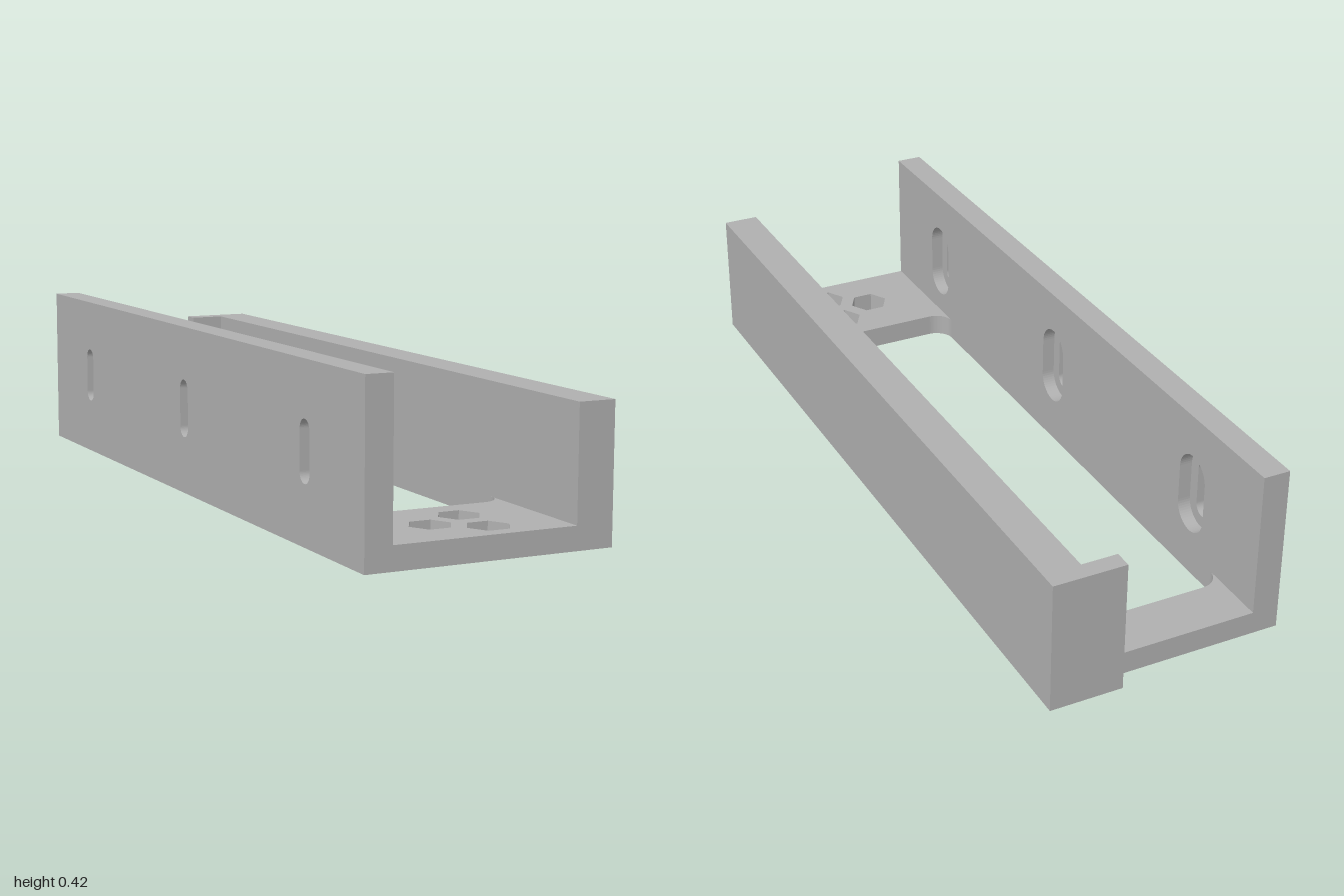
import * as THREE from 'three';

const grey = new THREE.MeshStandardMaterial({ color: 0xb0b0b0 });
grey.name = 'grey';

// Closed outline from [a, z] pairs; z is stored negated so extrusions rotate into place
const outline = (Type, pts) => new Type(pts.map(([a, b]) => new THREE.Vector2(a, b)));

function mesh(name, geometry) {
  const m = new THREE.Mesh(geometry, grey);
  m.name = name;
  return m;
}

// Plan shape (x, -z) raised from y0 to y1
function raise(name, shape, y0, y1) {
  const g = new THREE.ExtrudeGeometry(shape, { depth: y1 - y0, bevelEnabled: false, curveSegments: 10 });
  return mesh(name, g.rotateX(-Math.PI / 2).translate(0, y0, 0));
}

// Side shape (-z, y) thickened from x0 to x1
function thicken(name, shape, x0, x1) {
  const g = new THREE.ExtrudeGeometry(shape, { depth: x1 - x0, bevelEnabled: false, curveSegments: 14 });
  return mesh(name, g.rotateY(Math.PI / 2).translate(x0, 0, 0));
}

// Upright slot with round ends
function slot(z, y, width, height) {
  const r = width / 2, h = height / 2 - r;
  const p = new THREE.Path();
  p.moveTo(-z + r, y - h);
  p.lineTo(-z + r, y + h);
  p.absarc(-z, y + h, r, 0, Math.PI, false);
  p.lineTo(-z - r, y - h);
  p.absarc(-z, y - h, r, Math.PI, Math.PI * 2, false);
  return p;
}

function hexagon(x, z, r) {
  const pts = [];
  for (let i = 0; i < 6; i++) {
    const a = (i * Math.PI) / 3;
    pts.push([x + r * Math.cos(a), -z + r * Math.sin(a)]);
  }
  return outline(THREE.Path, pts);
}

const W = 0.307, BACK = -0.955, FLOOR = 0.057;
const IN_L = -0.24, IN_R = 0.215, POCKET_X = 0.275;
const POCKET_Z = [-0.743, -0.228], POCKET_TOP = 0.163;

// Floor window with rounded corners and a side notch under the wall pocket
function floorWindow() {
  const r = 0.05, front = -0.69, back = 0.82;
  const p = new THREE.Path();
  p.moveTo(IN_L + r, front);
  p.lineTo(IN_R - r, front);
  p.absarc(IN_R - r, front + r, r, -Math.PI / 2, 0, false);
  p.lineTo(IN_R, -POCKET_Z[1]);
  p.lineTo(POCKET_X, -POCKET_Z[1]);
  p.lineTo(POCKET_X, -POCKET_Z[0]);
  p.lineTo(IN_R, -POCKET_Z[0]);
  p.absarc(IN_R - r, back - r, r, 0, Math.PI / 2, false);
  p.lineTo(IN_L + r, back);
  p.absarc(IN_L + r, back - r, r, Math.PI / 2, Math.PI, false);
  p.lineTo(IN_L, front + r);
  p.absarc(IN_L + r, front + r, r, Math.PI, Math.PI * 1.5, false);
  return p;
}

export function createModel() {
  const group = new THREE.Group();
  group.name = 'mountingTray';

  // Floor with window and three hexagonal holes
  const floor = outline(THREE.Shape, [[-W, -1], [W, -1], [W, -BACK], [-W, -BACK]]);
  floor.holes.push(floorWindow());
  for (const [x, z] of [[0.04, 0.79], [-0.069, 0.853], [0.04, 0.917]]) floor.holes.push(hexagon(x, z, 0.053));
  group.add(raise('floor', floor, 0, FLOOR));

  // Tall wall: narrow slots outside, wider recessed slots inside
  const mid = -0.273;
  for (const [name, x0, x1, w, h] of [
    ['tallWallOuter', -W, mid, 0.05, 0.145],
    ['tallWallInner', mid, IN_L, 0.11, 0.205],
  ]) {
    const wall = outline(THREE.Shape, [[-1, FLOOR], [-BACK, FLOOR], [-BACK, 0.42], [-1, 0.42]]);
    for (const z of [0.715, 0.022, -0.67]) wall.holes.push(slot(z, 0.215, w, h));
    group.add(thicken(name, wall, x0, x1));
  }

  // Low wall: plain outer skin, inner layer cut by a pocket open at the bottom
  const top = 0.33;
  const skin = outline(THREE.Shape, [[-1, FLOOR], [-BACK, FLOOR], [-BACK, top], [-1, top]]);
  group.add(thicken('lowWallOuter', skin, POCKET_X, W));
  const inner = outline(THREE.Shape, [
    [-1, FLOOR], [-POCKET_Z[1], FLOOR], [-POCKET_Z[1], POCKET_TOP], [-POCKET_Z[0], POCKET_TOP],
    [-POCKET_Z[0], FLOOR], [-BACK, FLOOR], [-BACK, top], [-1, top],
  ]);
  group.add(thicken('lowWallInner', inner, IN_R, POCKET_X));

  // End stop at the back of the low wall
  const stop = outline(THREE.Shape, [[0.125, -BACK], [W, -BACK], [W, 1], [0.125, 1]]);
  group.add(raise('endStop', stop, 0, top));

  return group;
}
